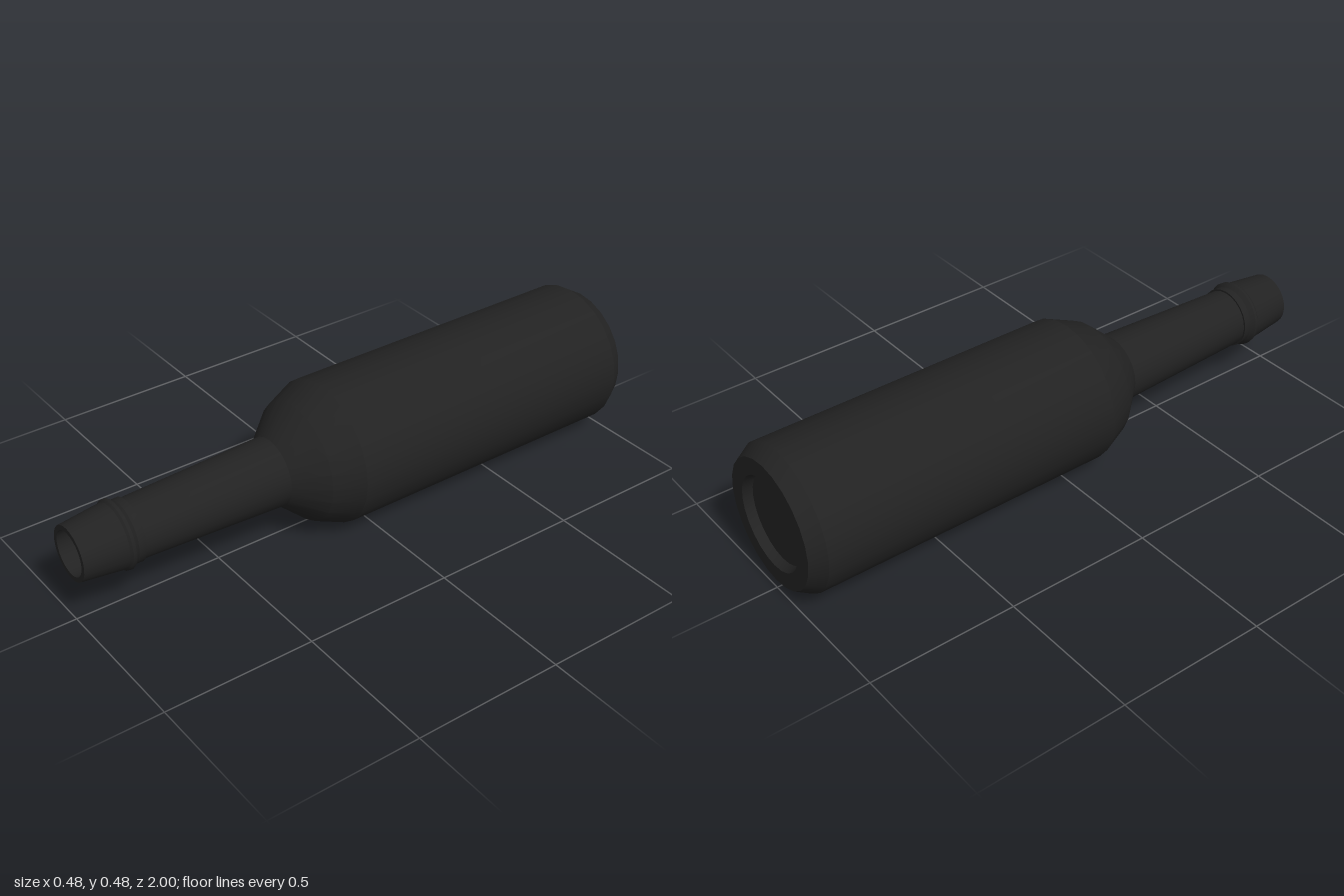
import * as THREE from 'three';
import { toCreasedNormals } from 'three/addons/utils/BufferGeometryUtils.js';

const SIDES = 24;
const RADIUS = 0.242;

export function createModel() {
  const model = new THREE.Group();
  model.name = 'bottle';
  const glass = new THREE.MeshStandardMaterial({ color: 0x222222, side: THREE.DoubleSide });

  // Turn a [radius, z] profile around the long axis, which lies along z
  function turned(name, profile) {
    const points = profile.map(([r, z]) => new THREE.Vector2(r, z));
    const lathe = new THREE.LatheGeometry(points, SIDES).rotateX(Math.PI / 2);
    const mesh = new THREE.Mesh(toCreasedNormals(lathe, 0.35), glass);
    mesh.name = name;
    mesh.position.y = RADIUS;
    model.add(mesh);
  }

  // Base with a shallow round recess
  turned('base', [[0, -0.97], [0.145, -0.97], [0.155, -1], [0.212, -1], [RADIUS, -0.95]]);

  // Cylindrical body and two-step shoulder
  turned('body', [[RADIUS, -0.95], [RADIUS, 0.1], [0.2, 0.2], [0.115, 0.295]]);

  // Tapered neck
  turned('neck', [[0.115, 0.295], [0.097, 0.8]]);

  // Collar ring and tapered lip
  turned('lip', [
    [0.097, 0.8], [0.103, 0.8], [0.102, 0.825], [0.113, 0.84],
    [0.112, 0.85], [0.106, 0.857], [0.09, 1], [0.074, 1],
  ]);

  // Hollow inside: bore, shoulder, cavity and floor
  turned('innerWall', [
    [0.074, 1], [0.08, 0.8], [0.095, 0.28], [0.18, 0.19],
    [0.22, 0.09], [0.22, -0.93], [0, -0.93],
  ]);

  return model;
}
